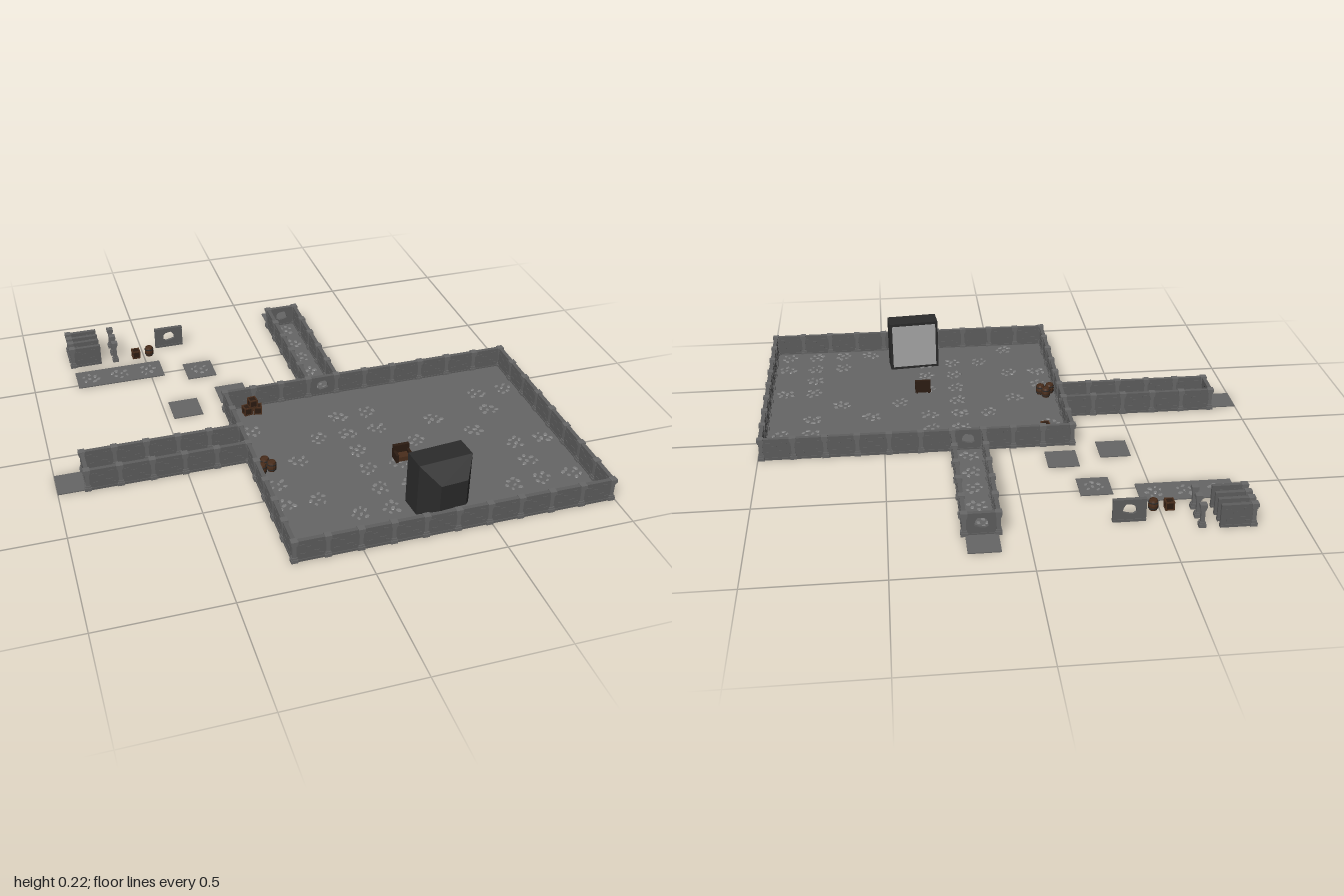
import * as THREE from 'three';
import { mergeGeometries } from 'three/addons/utils/BufferGeometryUtils.js';

const T = 0.124, H = 0.095, FLOOR = 0.004;
const mat = (color, extra = {}) => new THREE.MeshStandardMaterial({ color, flatShading: true, ...extra });
const M = {
  floor: mat(0x666666), stone: mat(0x808080), wall: mat(0x5e5e5e), pillar: mat(0x686868),
  wood: mat(0x4a2e1c), darkWood: mat(0x2c1c12), iron: mat(0x2a2a2a), body: mat(0x2b2b2b), screen: mat(0xaaaaaa),
};

let seed = 7;
const rand = () => (seed = (seed * 16807) % 2147483647) / 2147483647;

const box = (w, h, d, x = 0, y = 0, z = 0) => new THREE.BoxGeometry(w, h, d).translate(x, y, z);
const merge = (list) => mergeGeometries(list.map((g) => (g.index ? g.toNonIndexed() : g)));

function add(parent, name, geometry, material, x = 0, y = 0, z = 0, ry = 0) {
  const mesh = new THREE.Mesh(geometry, material);
  mesh.name = name;
  mesh.position.set(x, y, z);
  mesh.rotation.y = ry;
  parent.add(mesh);
  return mesh;
}

// Shared geometries: wall panel with raised bricks on both faces
function trims() {
  return [box(T, 0.01, 0.016, 0, 0.005, 0), box(T, 0.008, 0.016, 0, H - 0.006, 0)];
}
function panelGeometry() {
  const bricks = [[-0.035, 0.07, 0.022], [-0.01, 0.058, 0.018], [0.03, 0.074, 0.02],
    [-0.03, 0.03, 0.02], [0.02, 0.036, 0.024], [0.038, 0.022, 0.016]];
  const parts = bricks.flatMap(([x, y, w]) => [1, -1].map((s) => box(w, 0.009, 0.003, x * s, y, 0.006 * s)));
  return merge([box(T, H - 0.004, 0.011, 0, H / 2 - 0.002, 0), ...trims(), ...parts]);
}

// Wall panel with a ragged opening through it
function brokenPanelGeometry() {
  const s = new THREE.Shape();
  s.moveTo(-T / 2, 0).lineTo(T / 2, 0).lineTo(T / 2, H - 0.002).lineTo(-T / 2, H - 0.002).closePath();
  const pts = [[-0.026, 0.038], [-0.012, 0.03], [0.01, 0.034], [0.026, 0.04], [0.022, 0.06], [0.012, 0.073], [-0.012, 0.07], [-0.022, 0.062]];
  s.holes.push(new THREE.Path(pts.map(([x, y]) => new THREE.Vector2(x, y)).reverse()));
  const g = new THREE.ExtrudeGeometry(s, { depth: 0.011, bevelEnabled: false }).translate(0, 0, -0.0055);
  return merge([g, ...trims()]);
}

const PANEL = panelGeometry();
const BROKEN = brokenPanelGeometry();
// Pillar with a stepped base and cap
const PILLAR = merge([
  box(0.026, 0.014, 0.026, 0, 0.007, 0), box(0.021, 0.008, 0.021, 0, 0.018, 0),
  box(0.015, 0.06, 0.015, 0, 0.048, 0),
  box(0.021, 0.008, 0.021, 0, 0.077, 0), box(0.026, 0.014, 0.026, 0, 0.088, 0),
]);

const pillar = (g, x, z) => add(g, 'pillar', PILLAR, M.pillar, x, 0, z);

// Straight run of n panels, with pillars at every joint
function wallRun(parent, x0, z0, x1, z1, n, broken = -1) {
  const run = new THREE.Group();
  run.name = 'wallRun';
  const dx = (x1 - x0) / n, dz = (z1 - z0) / n;
  const angle = Math.atan2(-dz, dx);
  for (let i = 0; i <= n; i++) {
    pillar(run, x0 + dx * i, z0 + dz * i);
    if (i === n) break;
    const wall = add(run, i === broken ? 'brokenWallPanel' : 'wallPanel', i === broken ? BROKEN : PANEL, M.wall,
      x0 + dx * (i + 0.5), 0, z0 + dz * (i + 0.5), angle);
    wall.scale.x = Math.hypot(dx, dz) / T;
  }
  parent.add(run);
}

function floor(g, x0, x1, z0, z1, name = 'floor') {
  add(g, name, box(x1 - x0, FLOOR, z1 - z0), M.floor, (x0 + x1) / 2, FLOOR / 2, (z0 + z1) / 2);
}

// Scatter of flat paving stones around one tile centre
function cobbles(g, cx, cz) {
  const stones = [[-0.03, -0.012], [-0.012, -0.026], [0.008, -0.004], [0.026, -0.02], [-0.018, 0.012], [0.006, 0.028], [0.03, 0.014]];
  const quarter = Math.floor(rand() * 4) * Math.PI / 2;
  const parts = stones.map(([x, z]) => {
    const r = 0.008 + rand() * 0.005;
    return new THREE.CylinderGeometry(r * 0.85, r, 0.002, 6).scale(1, 1, 0.7).rotateY(rand() * 3).translate(x, 0, z);
  });
  add(g, 'pavingStones', merge(parts), M.stone, cx, FLOOR + 0.001, cz, quarter);
}

function crate(g, x, y, z, ry = 0) {
  const c = new THREE.Group();
  c.name = 'crate';
  c.position.set(x, y, z);
  c.rotation.y = ry;
  add(c, 'crateBody', box(0.031, 0.031, 0.031, 0, 0.0175, 0), M.darkWood);
  const bars = [];
  for (const a of [-1, 1]) for (const b of [-1, 1]) {
    const p = a * 0.015, q = b * 0.015;
    bars.push(box(0.035, 0.005, 0.005, 0, 0.0175 + p, q), box(0.005, 0.035, 0.005, p, 0.0175, q),
      box(0.005, 0.005, 0.035, p, 0.0175 + q, 0));
  }
  add(c, 'crateFrame', merge(bars), M.wood);
  g.add(c);
}

function barrel(g, x, z) {
  const b = new THREE.Group();
  b.name = 'barrel';
  b.position.set(x, FLOOR, z);
  const profile = [[0, 0], [0.015, 0], [0.0185, 0.012], [0.0195, 0.021], [0.0185, 0.03], [0.015, 0.042], [0.013, 0.042], [0.013, 0.039], [0, 0.039]];
  add(b, 'barrelStaves', new THREE.LatheGeometry(profile.map(([r, y]) => new THREE.Vector2(r, y)), 12), M.wood);
  for (const y of [0.01, 0.032]) add(b, 'barrelHoop', new THREE.CylinderGeometry(0.0195, 0.0195, 0.004, 12), M.iron, 0, y, 0);
  g.add(b);
}

// Large tube monitor: full-size front case, tapering to a smaller end
function monitor(g) {
  const m = new THREE.Group();
  m.name = 'monitor';
  m.position.set(0.357, FLOOR, 0.715);
  m.rotation.y = 0.09;
  add(m, 'monitorCase', box(0.217, 0.221, 0.09, 0, 0.1105, -0.03), M.body);
  const taper = box(0.217, 0.221, 0.075, 0, 0, 0.0525);
  const p = taper.attributes.position;
  for (let i = 0; i < p.count; i++) if (p.getZ(i) > 0.06) p.setXY(i, p.getX(i) * 0.5, p.getY(i) * 0.5);
  taper.computeVertexNormals();
  add(m, 'monitorBack', taper, M.body, 0, 0.1105, 0);
  add(m, 'monitorScreen', box(0.195, 0.198, 0.002), M.screen, 0, 0.1105, -0.0755);
  g.add(m);
}

function armchair(g) {
  const c = new THREE.Group();
  c.name = 'armchair';
  c.position.set(0.325, FLOOR, 0.4);
  add(c, 'seat', box(0.05, 0.02, 0.042, 0, 0.016, 0.002), M.wood);
  add(c, 'backrest', box(0.066, 0.055, 0.014, 0, 0.0325, -0.018), M.darkWood);
  for (const s of [-1, 1]) {
    add(c, 'armrest', box(0.011, 0.034, 0.048, s * 0.028, 0.021, 0.001), M.darkWood);
    for (const z of [-0.018, 0.018]) add(c, 'foot', box(0.008, 0.006, 0.008, s * 0.026, 0.003, z), M.darkWood);
  }
  g.add(c);
}

export function createModel() {
  const root = new THREE.Group();
  root.name = 'dungeon';

  // Main room
  const [L, R, B, F] = [-0.255, 0.985, -0.135, 0.855];
  const nx = 0.105, wz = 0.113;
  floor(root, L, R, B, F, 'roomFloor');
  wallRun(root, L, F, R, F, 10);
  wallRun(root, R, F, R, B, 8);
  wallRun(root, L, B, nx, B, 3);
  wallRun(root, nx + T, B, R, B, 6);
  wallRun(root, L, B, L, wz, 2);
  wallRun(root, L, wz + T, L, F, 5);
  wallRun(root, nx, B, nx + T, B, 1, 0);
  wallRun(root, L, wz, L, wz + T, 1, 0);

  // Paving pattern, one character per tile
  ['..........', '1..11...11', '..111.1.1.', '.1.1.1.1..', '1..11...11', '11.11...1.', '..111..111', '.1....1111']
    .forEach((row, j) => [...row].forEach((c, i) => {
      if (c === '1') cobbles(root, L + T * (i + 0.5), B + T * (j + 0.5));
    }));

  // Back corridor and side corridor, each ending in a broken wall and a plain slab
  const zEnd = -0.755, xEnd = -0.885;
  floor(root, nx, nx + T, zEnd, B, 'backCorridorFloor');
  for (const x of [nx, nx + T]) wallRun(root, x, zEnd, x, B, 5);
  wallRun(root, nx, zEnd, nx + T, zEnd, 1, 0);
  floor(root, nx, nx + 0.12, -0.875, zEnd, 'backSlab');
  floor(root, xEnd, L, wz, wz + T, 'sideCorridorFloor');
  for (const z of [wz, wz + T]) wallRun(root, xEnd, z, L, z, 5);
  wallRun(root, xEnd, wz, xEnd, wz + T, 1, 0);
  floor(root, -1, xEnd, 0.12, 0.24, 'sideSlab');
  for (let i = 0; i < 5; i++) {
    cobbles(root, nx + T / 2, zEnd + T * (i + 0.5));
    if (i !== 2) cobbles(root, xEnd + T * (i + 0.5), wz + T / 2);
  }

  // Furnishings
  monitor(root);
  armchair(root);
  crate(root, -0.175, FLOOR, -0.082, 0.15);
  crate(root, -0.132, FLOOR, -0.078, -0.2);
  crate(root, -0.153, FLOOR + 0.035, -0.08, 0.1);
  for (const [x, z] of [[-0.205, 0.292], [-0.185, 0.323], [-0.226, 0.33]]) barrel(root, x, z);

  // Loose spare pieces laid out beside the room
  for (const z of [-0.795, -0.752, -0.71, -0.66]) {
    add(root, 'spareWall', PANEL, M.wall, -0.752, 0, z);
    pillar(root, -0.813, z);
  }
  for (const z of [-0.785, -0.72, -0.66]) pillar(root, -0.627, z);
  add(root, 'spareBrokenWall', BROKEN, M.wall, -0.373, 0, -0.722);
  crate(root, -0.535, FLOOR, -0.66);
  barrel(root, -0.475, -0.66);
  floor(root, -0.815, -0.443, -0.6, -0.476, 'spareLongFloor');
  for (let i = 0; i < 3; i++) cobbles(root, -0.753 + T * i, -0.538);
  floor(root, -0.35, -0.226, -0.538, -0.414, 'spareFloor');
  cobbles(root, -0.288, -0.476);
  floor(root, -0.258, -0.134, -0.318, -0.194, 'spareSlab');
  floor(root, -0.472, -0.35, -0.258, -0.134, 'spareSlab');
  return root;
}
